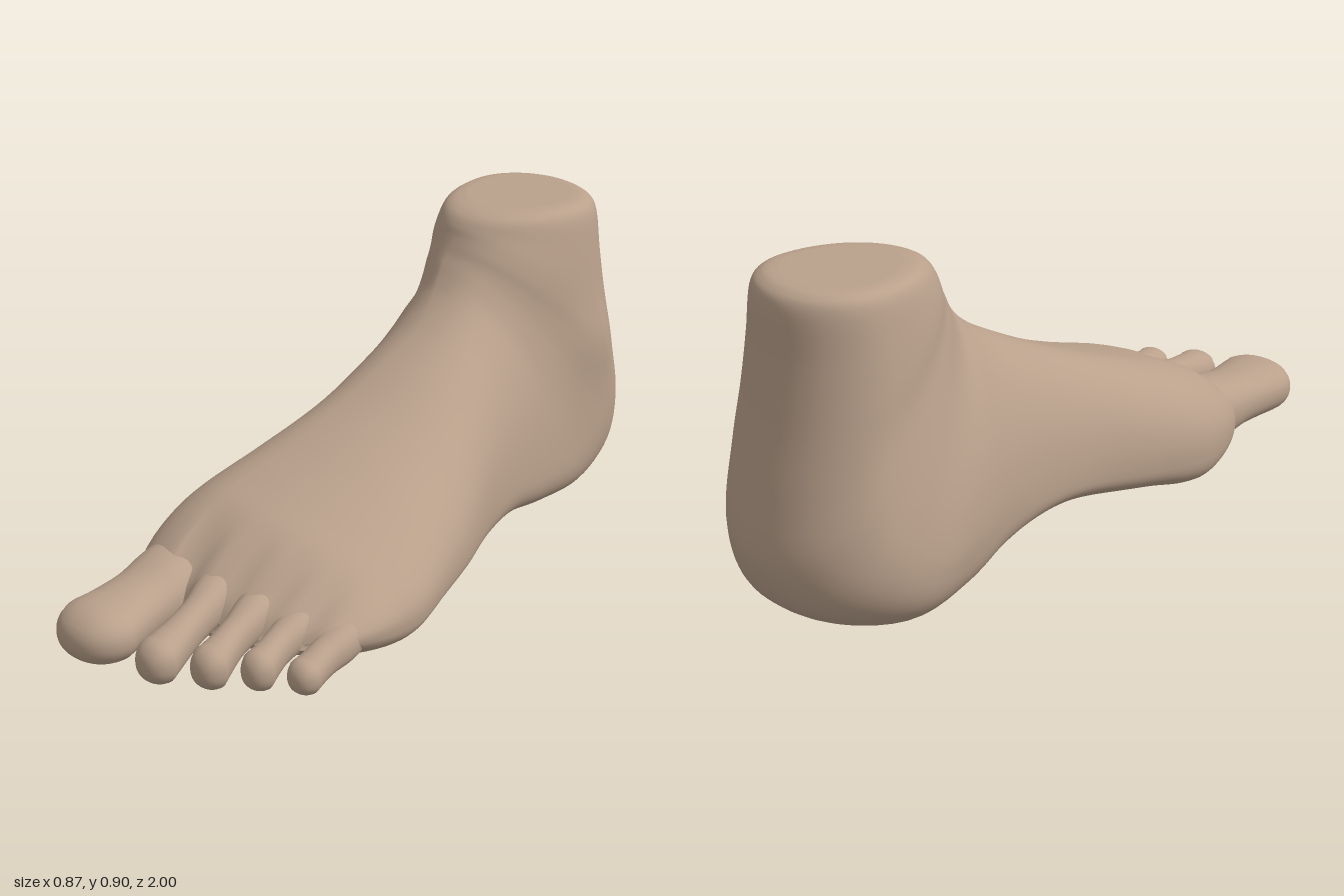
import * as THREE from 'three';

const SEG = 72;

// Smooth interpolation through the rows of a small table
function splineRows(rows, steps) {
  const at = i => rows[Math.min(rows.length - 1, Math.max(0, i))];
  const out = [];
  for (let i = 0; i < rows.length - 1; i++) {
    for (let s = 0; s < steps; s++) {
      const t = s / steps;
      out.push(rows[i].map((b, k) => {
        const a = at(i - 1)[k], c = at(i + 1)[k], d = at(i + 2)[k];
        return b + 0.5 * t * (c - a + t * (2 * a - 5 * b + 4 * c - d + t * (3 * (b - c) + d - a)));
      }));
    }
  }
  out.push(rows[rows.length - 1]);
  return out;
}

// Skin over closed rings of points, with both ends capped
function loft(rings) {
  const n = rings[0].length, pos = [], idx = [];
  rings.forEach(r => r.forEach(p => pos.push(p.x, p.y, p.z)));
  for (let i = 0; i < rings.length - 1; i++) {
    for (let j = 0; j < n; j++) {
      const a = i * n + j, b = i * n + (j + 1) % n;
      idx.push(a, b, a + n, b, b + n, a + n);
    }
  }
  [0, rings.length - 1].forEach((i, end) => {
    const c = new THREE.Vector3();
    rings[i].forEach(p => c.addScaledVector(p, 1 / n));
    const ci = pos.length / 3;
    pos.push(c.x, c.y, c.z);
    for (let j = 0; j < n; j++) {
      const a = i * n + j, b = i * n + (j + 1) % n;
      if (end) idx.push(ci, a, b); else idx.push(ci, b, a);
    }
  });
  return toGeometry(pos, idx);
}

function toGeometry(pos, idx) {
  const g = new THREE.BufferGeometry();
  g.setAttribute('position', new THREE.Float32BufferAttribute(pos, 3));
  g.setIndex(idx);
  g.computeVertexNormals();
  return g;
}

const bell = (d, w) => Math.exp(-(d * d) / (w * w));
const spow = (v, e) => Math.sign(v) * Math.abs(v) ** e;

// Sections fan from the ankle (horizontal) round the heel to the toes (vertical):
// upper z, y, lower z, y, min x, max x, ridge x, widest fraction,
// then the roundness exponents of the sole, the inner side and the outer side
const ANKLE = [
  [-0.54, 0.908, -0.85, 0.908, -0.25, 0.04, -0.11, 0.40, 1, 1, 1],
  [-0.498, 0.902, -0.892, 0.9, -0.285, 0.078, -0.11, 0.40, 1, 1, 1],
  [-0.467, 0.888, -0.92, 0.86, -0.308, 0.106, -0.11, 0.40, 1, 1, 1],
  [-0.447, 0.865, -0.93, 0.72, -0.325, 0.125, -0.11, 0.40, 1, 1, 1],
  [-0.435, 0.84, -0.952, 0.55, -0.34, 0.14, -0.11, 0.40, 1, 1, 0.93],
  [-0.422, 0.815, -0.985, 0.37, -0.353, 0.15, -0.11, 0.38, 1, 1.02, 0.87],
  [-0.408, 0.79, -1.0, 0.2, -0.382, 0.155, -0.115, 0.34, 0.95, 1.08, 0.83],
  [-0.39, 0.765, -0.935, 0.07, -0.415, 0.16, -0.115, 0.29, 0.85, 1.2, 0.82],
];
const FOOT = [
  [-0.365, 0.73, -0.76, 0.012, -0.432, 0.168, -0.11, 0.25, 0.7, 1.3, 0.83],
  [-0.335, 0.695, -0.55, 0.025, -0.395, 0.185, -0.1, 0.25, 0.65, 1.2, 0.87],
  [-0.285, 0.653, -0.37, 0.06, -0.35, 0.21, -0.085, 0.25, 0.62, 1.1, 0.92],
  [-0.2, 0.6, -0.2, 0.062, -0.315, 0.255, -0.075, 0.25, 0.6, 1, 0.97],
  [0.0, 0.5, 0.0, 0.055, -0.305, 0.335, -0.09, 0.26, 0.6, 1, 1],
  [0.2, 0.42, 0.22, 0.042, -0.335, 0.395, -0.11, 0.28, 0.6, 1, 1],
  [0.36, 0.365, 0.36, 0.015, -0.355, 0.425, -0.13, 0.34, 0.62, 1, 1],
  [0.46, 0.33, 0.46, 0.005, -0.348, 0.432, -0.13, 0.38, 0.65, 1, 1],
  [0.56, 0.28, 0.58, 0.03, -0.31, 0.43, -0.13, 0.4, 0.7, 1, 1],
  [0.65, 0.215, 0.66, 0.06, -0.255, 0.41, -0.12, 0.45, 0.85, 1, 1],
  [0.685, 0.155, 0.685, 0.09, -0.19, 0.37, -0.1, 0.5, 1, 1, 1],
];
const TOE_GAPS = [-0.07, 0.09, 0.205, 0.305];
const slant = x => 0.8 * Math.max(0, x) ** 2;

function footGeometry() {
  const rings = splineRows([...ANKLE, ...FOOT], 6).map(
    ([tz, ty, bz, by, x0, x1, ridge, wide, sole, inner, outer]) => {
      const ring = [];
      for (let j = 0; j < SEG; j++) {
        const a = j / SEG * Math.PI * 2;
        const e = Math.sin(a) < 0 ? sole : Math.cos(a) < 0 ? inner : outer;
        const c = spow(Math.cos(a), e), s = spow(Math.sin(a), e);
        const v = wide + s * (s > 0 ? 1 - wide : wide);
        let x = ridge + c * (c > 0 ? x1 - ridge : ridge - x0);
        let y = by + (ty - by) * v;
        let z = bz + (tz - bz) * v;
        // slanted toe line
        const line = z;
        z -= slant(x) * THREE.MathUtils.smoothstep(z, -0.2, 0.7);
        // valleys between the toes
        const valley = 0.045 * THREE.MathUtils.smoothstep(line, 0.45, 0.64);
        if (s > 0) TOE_GAPS.forEach(g => { y -= valley * s * bell(x - g, 0.035); });
        // raised inner arch
        if (s < 0 && x < ridge) y += 0.045 * bell(z + 0.08, 0.22) * -s * -c;
        // outer ankle bone
        if (c > 0) x += 0.015 * c * bell(y - 0.5, 0.1) * bell(z + 0.74, 0.1);
        ring.push(new THREE.Vector3(x, y, z));
      }
      return ring;
    });
  return loft(rings);
}

// Each toe: rows of centre x, y, z and radii x, y, then the length of its rounded tip
const TOES = [
  { name: 'bigToe', tip: 0.11, rows: [
    [-0.185, 0.16, 0.46, 0.09, 0.09], [-0.16, 0.14, 0.63, 0.108, 0.092],
    [-0.143, 0.128, 0.75, 0.102, 0.078], [-0.121, 0.12, 0.89, 0.118, 0.077]] },
  { name: 'secondToe', tip: 0.06, rows: [
    [-0.01, 0.19, 0.46, 0.045, 0.05], [0.015, 0.162, 0.62, 0.062, 0.064],
    [0.052, 0.138, 0.74, 0.049, 0.055], [0.088, 0.107, 0.88, 0.061, 0.06]] },
  { name: 'thirdToe', tip: 0.055, rows: [
    [0.115, 0.18, 0.46, 0.04, 0.05], [0.148, 0.152, 0.61, 0.055, 0.058],
    [0.174, 0.13, 0.71, 0.045, 0.052], [0.205, 0.105, 0.81, 0.054, 0.058]] },
  { name: 'fourthToe', tip: 0.05, rows: [
    [0.225, 0.165, 0.42, 0.04, 0.05], [0.254, 0.138, 0.56, 0.052, 0.053],
    [0.272, 0.118, 0.65, 0.043, 0.05], [0.295, 0.098, 0.73, 0.048, 0.054]] },
  { name: 'littleToe', tip: 0.047, rows: [
    [0.335, 0.14, 0.36, 0.04, 0.05], [0.36, 0.12, 0.5, 0.056, 0.055],
    [0.374, 0.103, 0.59, 0.045, 0.048], [0.385, 0.086, 0.66, 0.047, 0.047]] },
];

function toeRows({ rows, tip }) {
  const spine = splineRows(rows, 8);
  const [x, y, z, rx, ry] = rows[rows.length - 1];
  for (let i = 1; i < 14; i++) {
    const a = i / 14 * Math.PI / 2, c = Math.cos(a) ** 0.88;
    spine.push([x, y - 0.1 * ry * (1 - c), z + tip * Math.sin(a) ** 0.95, rx * c, ry * c]);
  }
  return spine;
}

function toePoint([x, y, z, rx, ry], a, lift = 0) {
  return new THREE.Vector3(
    x + (rx + lift) * spow(Math.cos(a), 0.9), y + (ry + lift) * spow(Math.sin(a), 0.9), z);
}

// Thin nail following the top of the toe, narrowing at both ends
function nailGeometry(rows) {
  const last = rows.length - 1, from = last - 16, to = last - 4, m = 12;
  const pos = [], idx = [];
  for (let i = from; i <= to; i++) {
    const u = (i - from) / (to - from) * 2 - 1;
    const half = 0.85 * Math.sqrt(1 - 0.75 * u * u);
    for (let j = 0; j <= m; j++) {
      const p = toePoint(rows[i], Math.PI / 2 + half * (j / m * 2 - 1), 0.002);
      pos.push(p.x, p.y, p.z);
      if (i < to && j < m) {
        const a = (i - from) * (m + 1) + j, c = a + m + 1;
        idx.push(a, a + 1, c, a + 1, c + 1, c);
      }
    }
  }
  return toGeometry(pos, idx);
}

export function createModel() {
  const skin = new THREE.MeshStandardMaterial({ color: 0xb9a08b, side: THREE.DoubleSide });
  skin.name = 'skin';
  const model = new THREE.Group();
  model.name = 'foot';
  const add = (name, geometry, parent = model) => {
    const mesh = new THREE.Mesh(geometry, skin);
    mesh.name = name;
    parent.add(mesh);
  };

  add('footAndAnkle', footGeometry());
  TOES.forEach(toe => {
    const group = new THREE.Group();
    group.name = toe.name;
    model.add(group);
    const rows = toeRows(toe);
    const rings = rows.map(r =>
      Array.from({ length: 40 }, (_, j) => toePoint(r, j / 40 * Math.PI * 2)));
    add(toe.name + 'Flesh', loft(rings), group);
    add(toe.name + 'Nail', nailGeometry(rows), group);
  });
  return model;
}
